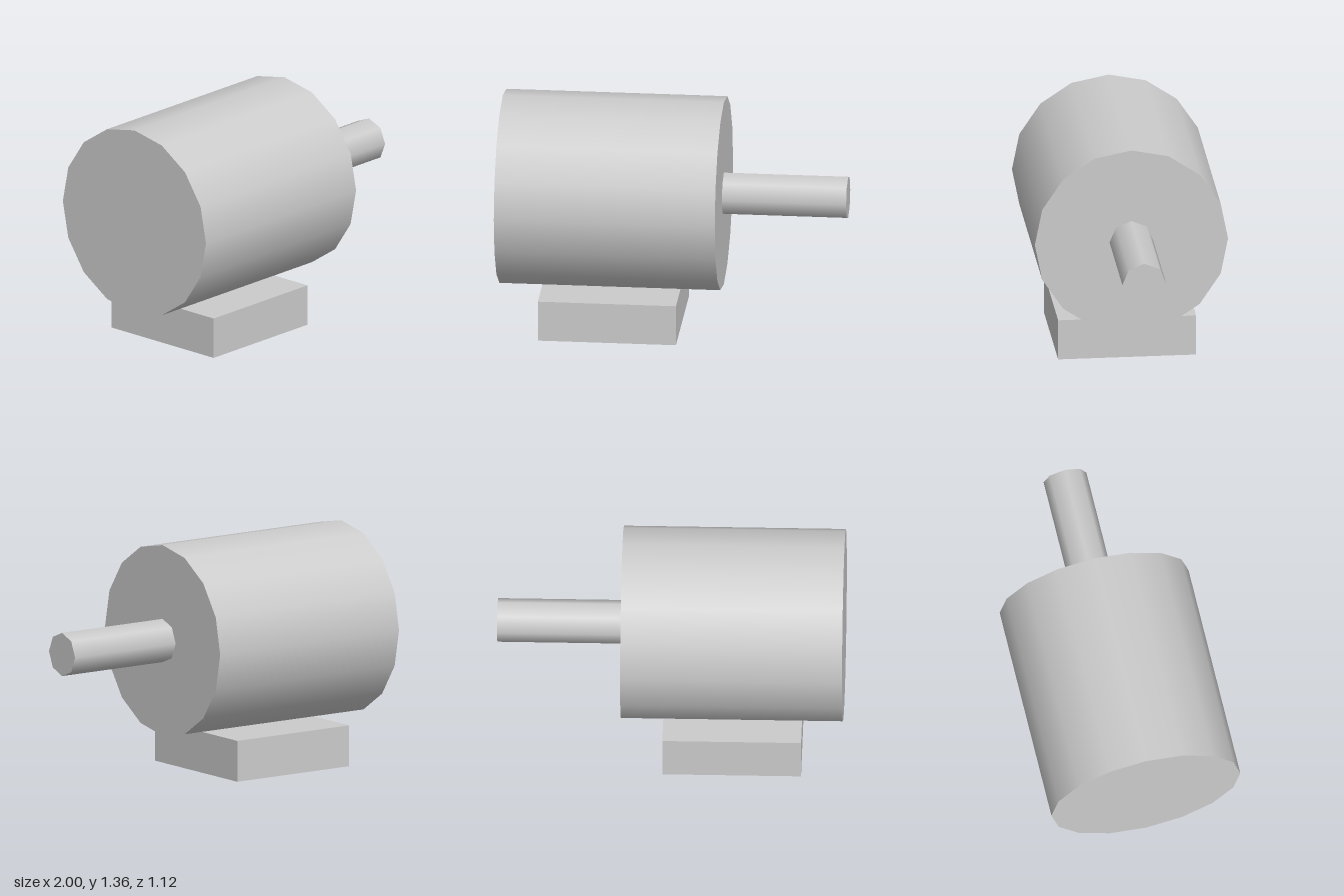
import * as THREE from 'three';

const AXIS_Y = 0.795;

export function createModel() {
  const group = new THREE.Group();
  const material = new THREE.MeshStandardMaterial({ color: 0xcccccc });

  const add = (name, geometry, x, y) => {
    const mesh = new THREE.Mesh(geometry, material);
    mesh.name = name;
    mesh.position.set(x, y, 0);
    group.add(mesh);
  };

  // Cylinder lying along x, from x0 to x1
  const addRod = (name, radius, x0, x1, sides) => {
    const geometry = new THREE.CylinderGeometry(radius, radius, x1 - x0, sides);
    geometry.rotateZ(-Math.PI / 2);
    add(name, geometry, (x0 + x1) / 2, AXIS_Y);
  };

  // Motor housing and its output shaft
  addRod('motorBody', 0.56, -1, 0.28, 16);
  addRod('shaft', 0.127, 0.28, 1, 8);

  // Mounting foot
  add('mountingBase', new THREE.BoxGeometry(0.8, 0.24, 0.8), -0.36, 0.12);

  return group;
}
